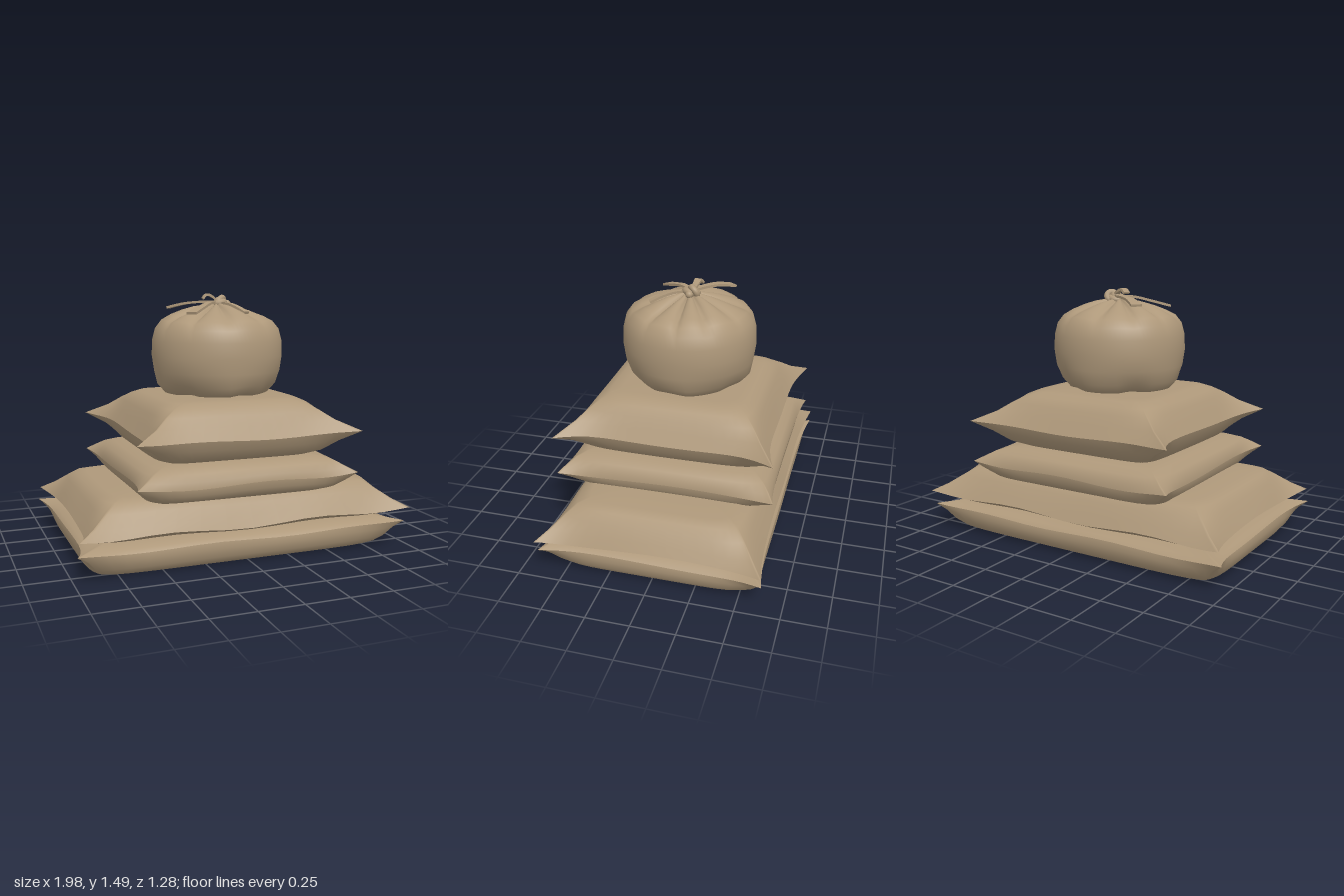
import * as THREE from 'three';
import { mergeGeometries, mergeVertices } from 'three/addons/utils/BufferGeometryUtils.js';

const burlap = new THREE.MeshStandardMaterial({ color: 0xae987a, side: THREE.DoubleSide });
burlap.name = 'burlap';

const SEG = 18; // segments along each side of a sack

// One half of a sack: rings of [inset, height, cornerOffset] from the seam to the middle.
function sackHalf(hx, hz, rings, up, wave, seed) {
  const pos = [], idx = [], n = SEG * 4;
  rings.forEach(([inset, y, corner], k) => {
    const fade = Math.max(0, 1 - k / 3); // seam ripples die out away from the seam
    for (let side = 0; side < 4; side++) {
      for (let i = 0; i < SEG; i++) {
        const t = Math.sin((i / SEG - 0.5) * Math.PI);
        const tip = corner * Math.abs(t) ** 7;
        const a = hx - inset, b = hz - inset;
        // side order: front, right edge, back, left edge
        const [lx, lz] = [[t, 1], [1, -t], [-t, -1], [-1, t]][side];
        const spread = Math.abs(t) ** 7;
        const flat = side % 2 === 0;
        const x = lx * a + Math.sign(lx) * (flat ? tip : corner * spread);
        const z = lz * b + Math.sign(lz) * (flat ? corner * spread : tip) * 0.6;
        const ripple = wave * fade * (1 - spread) * Math.sin(x * 7 + z * 5 + seed);
        pos.push(x, y + ripple + fade * 0.02 * spread, z);
      }
    }
  });
  const last = rings[rings.length - 1];
  pos.push(0, last[1], 0);
  const centre = rings.length * n;
  const tri = (a, b, c) => (up ? idx.push(a, b, c) : idx.push(a, c, b));
  for (let j = 0; j < n; j++) {
    const j2 = (j + 1) % n;
    for (let k = 0; k < rings.length - 1; k++) {
      const p = k * n + j, q = k * n + j2;
      tri(p, q, q + n);
      tri(p, q + n, p + n);
    }
    tri(centre - n + j, centre - n + j2, centre);
  }
  const g = new THREE.BufferGeometry();
  g.setAttribute('position', new THREE.Float32BufferAttribute(pos, 3));
  g.setIndex(idx);
  g.computeVertexNormals();
  return g;
}

function sack(name, { hx, hz, x, z, top, bottom, wave, seed }) {
  const mesh = new THREE.Mesh(mergeGeometries([
    sackHalf(hx, hz, top, true, wave, seed),
    sackHalf(hx, hz, bottom, false, wave, seed),
  ]), burlap);
  mesh.name = name;
  mesh.position.set(x, 0, z);
  return mesh;
}

// Round bag: a lathe profile with pleats gathered towards the knot
function roundBag() {
  const profile = [[0, 0.885], [0.25, 0.885], [0.31, 0.9], [0.355, 0.95], [0.38, 1.03], [0.393, 1.12],
    [0.39, 1.21], [0.372, 1.28], [0.335, 1.328], [0.28, 1.358], [0.21, 1.385], [0.14, 1.405],
    [0.08, 1.415], [0.035, 1.425], [0, 1.43]].map(([r, y]) => new THREE.Vector2(r, y));
  let g = new THREE.LatheGeometry(profile, 96);
  const p = g.attributes.position;
  for (let i = 0; i < p.count; i++) {
    const x = p.getX(i), y = p.getY(i), z = p.getZ(i);
    const r = Math.hypot(x, z), a = Math.atan2(z, x);
    if (y > 1.2) {
      const w = Math.sin(Math.PI * Math.min(1, r / 0.39)) ** 0.8;
      const fold = Math.abs(Math.sin(a * 5.5 + 0.35 * Math.sin(2 * a))) ** 0.6;
      p.setY(i, y - 0.032 * w * (1 - fold) - 0.008 * w * Math.sin(3 * a + 1));
    } else if (y < 1 && r > 0.2) {
      const k = 1 + 0.03 * Math.cos(4 * a);
      p.setXYZ(i, x * k, y + 0.012 * Math.max(0, Math.sin(5 * a + 1)), z * k);
    }
  }
  g.deleteAttribute('uv');
  g.deleteAttribute('normal');
  g = mergeVertices(g, 1e-4);
  g.computeVertexNormals();
  const mesh = new THREE.Mesh(g, burlap);
  mesh.name = 'roundBag';
  mesh.position.set(0.015, 0, 0.003);
  return mesh;
}

// Cloth strip: a subdivided box bent along a curve, narrow at the knot
function strip(name, points, w0, w1) {
  const curve = new THREE.CatmullRomCurve3(points.map((q) => new THREE.Vector3(...q)));
  const g = new THREE.BoxGeometry(1, 0.014, 1, 16, 1, 2);
  const p = g.attributes.position;
  for (let i = 0; i < p.count; i++) {
    const t = p.getX(i) + 0.5, c = curve.getPoint(t), d = curve.getTangent(t);
    const side = new THREE.Vector3(-d.z, 0, d.x).normalize();
    const lift = new THREE.Vector3().crossVectors(d, side).multiplyScalar(-p.getY(i));
    c.addScaledVector(side, p.getZ(i) * THREE.MathUtils.lerp(w0, w1, t)).add(lift);
    p.setXYZ(i, c.x, c.y, c.z);
  }
  g.computeVertexNormals();
  const mesh = new THREE.Mesh(g, burlap);
  mesh.name = name;
  return mesh;
}

function knot() {
  const group = new THREE.Group();
  group.name = 'knot';
  const add = (geo, x, y, z, rx, ry, rz) => {
    const m = new THREE.Mesh(geo, burlap);
    m.name = 'knotLoop';
    m.position.set(x, y, z);
    m.rotation.set(rx, ry, rz);
    group.add(m);
  };
  add(new THREE.TorusGeometry(0.035, 0.02, 10, 24), 0.03, 1.425, -0.01, 1.4, 0.2, 0);
  add(new THREE.TorusGeometry(0.028, 0.018, 10, 24), 0.05, 1.435, -0.03, 0.6, 0.6, 0.3);
  add(new THREE.SphereGeometry(0.03, 16, 12), 0.035, 1.435, -0.015, 0, 0, 0);
  add(new THREE.SphereGeometry(0.022, 16, 12), 0.085, 1.425, -0.01, 0, 0, 0);
  return group;
}

export function createModel() {
  const model = new THREE.Group();
  model.name = 'sackPile';
  // Stacked sacks, from the ground up
  model.add(
    sack('bottomSack', {
      hx: 0.915, hz: 0.6, x: -0.012, z: 0, wave: 0.006, seed: 0,
      top: [[0, 0.135, 0.06], [0.02, 0.155, 0], [0.07, 0.172, -0.03], [0.16, 0.18, -0.04], [0.35, 0.18, -0.03]],
      bottom: [[0, 0.135, 0.06], [-0.005, 0.1, 0], [0.01, 0.05, -0.03], [0.035, 0.018, -0.05], [0.07, 0, -0.05], [0.35, 0, -0.03]],
    }),
    sack('wideSack', {
      hx: 0.92, hz: 0.6, x: 0.012, z: 0, wave: 0.012, seed: 2,
      top: [[0, 0.212, 0.065], [0.03, 0.265, 0.01], [0.07, 0.33, -0.03], [0.11, 0.378, -0.05], [0.17, 0.395, -0.05], [0.35, 0.4, -0.03]],
      bottom: [[0, 0.212, 0.065], [0.04, 0.19, 0], [0.1, 0.175, -0.03], [0.35, 0.17, -0.03]],
    }),
    sack('narrowSack', {
      hx: 0.605, hz: 0.6, x: -0.01, z: 0, wave: 0.008, seed: 4,
      top: [[0, 0.452, 0.05], [0.005, 0.49, 0], [0.03, 0.528, -0.03], [0.08, 0.555, -0.04], [0.16, 0.565, -0.04], [0.3, 0.57, -0.03]],
      bottom: [[0, 0.452, 0.05], [0.005, 0.415, 0], [0.03, 0.38, -0.03], [0.08, 0.36, -0.04], [0.3, 0.36, -0.03]],
    }),
    sack('upperSack', {
      hx: 0.555, hz: 0.565, x: 0, z: 0.005, wave: 0.006, seed: 1,
      top: [[0, 0.692, 0.11], [0.04, 0.76, 0.02], [0.075, 0.82, -0.02], [0.11, 0.862, -0.045], [0.16, 0.885, -0.05], [0.22, 0.892, -0.04], [0.36, 0.893, -0.02]],
      bottom: [[0, 0.692, 0.11], [0.02, 0.64, 0.02], [0.06, 0.585, -0.02], [0.12, 0.56, -0.04], [0.33, 0.555, -0.02]],
    }),
    roundBag(),
    knot(),
    // Loose ends of the tie
    strip('backTie', [[0.03, 1.435, -0.02], [-0.05, 1.435, -0.07], [-0.14, 1.425, -0.13], [-0.225, 1.4, -0.2]], 0.025, 0.065),
    strip('sideTie', [[0.02, 1.43, -0.01], [-0.05, 1.43, 0.06], [-0.13, 1.405, 0.13], [-0.215, 1.375, 0.205]], 0.02, 0.065),
    strip('frontTie', [[0.03, 1.43, 0], [0.06, 1.425, 0.08], [0.09, 1.405, 0.15], [0.12, 1.375, 0.215]], 0.025, 0.04),
    strip('tieLoop', [[0.03, 1.44, -0.02], [0.0, 1.465, -0.03], [-0.035, 1.478, -0.035], [-0.06, 1.455, -0.04]], 0.03, 0.05),
  );
  return model;
}
